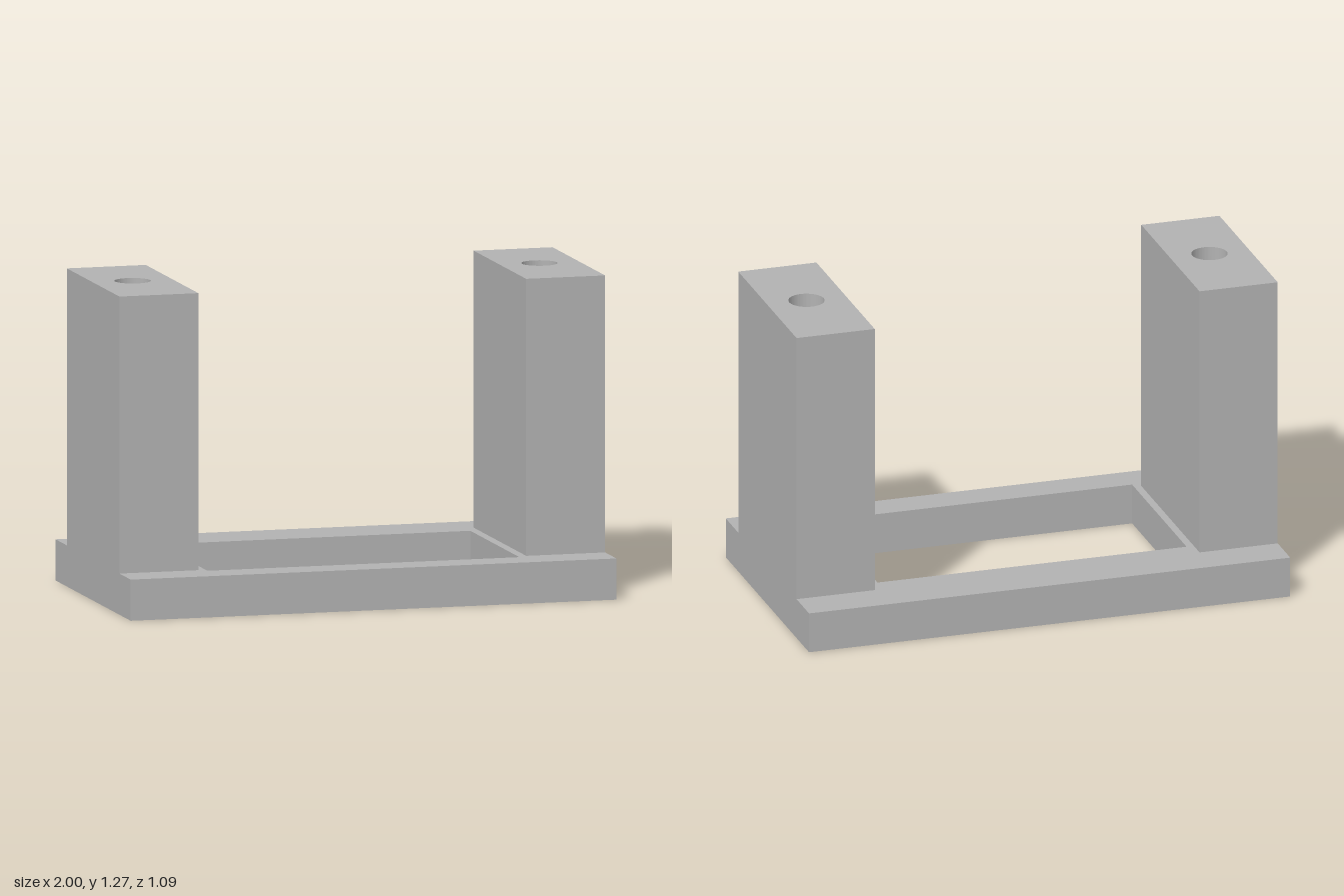
import * as THREE from 'three';
import { toCreasedNormals } from 'three/addons/utils/BufferGeometryUtils.js';

// Rectangle outline in plan; z is flipped because the extrusion is turned upright
function plan(x0, x1, z0, z1) {
  return [[x0, -z0], [x0, -z1], [x1, -z1], [x1, -z0]].map(([x, y]) => new THREE.Vector2(x, y));
}

// Extrude a plan shape upwards from y0 to y1
function raise(shape, y0, y1) {
  const geo = new THREE.ExtrudeGeometry(shape, { depth: y1 - y0, bevelEnabled: false, curveSegments: 40 });
  geo.rotateX(-Math.PI / 2).translate(0, y0, 0);
  return toCreasedNormals(geo, 0.6);
}

export function createModel() {
  const group = new THREE.Group();
  const grey = new THREE.MeshStandardMaterial({ color: 0xb2b2b2 });
  grey.name = 'plain grey';

  const add = (name, geo) => {
    const mesh = new THREE.Mesh(geo, grey);
    mesh.name = name;
    group.add(mesh);
  };

  const baseTop = 0.165, postTop = 1.275, holeFloor = 0.75;

  // Base plate with an off-centre rectangular window
  const base = new THREE.Shape(plan(-1, 1, -0.543, 0.543));
  base.holes.push(new THREE.Path(plan(-0.645, 0.64, -0.305, 0.405)));
  add('basePlate', raise(base, 0, baseTop));

  // Two posts, each solid below and bored from the top
  for (const [side, x0, x1] of [['left', 0.675, 1], ['right', -1, -0.675]]) {
    const outline = plan(x0, x1, -0.38, 0.38);
    add(side + 'PostLower', raise(new THREE.Shape(outline), baseTop, holeFloor));
    const bored = new THREE.Shape(outline);
    bored.holes.push(new THREE.Path().absarc((x0 + x1) / 2, 0, 0.072, 0, Math.PI * 2, true));
    add(side + 'PostUpper', raise(bored, holeFloor, postTop));
  }
  return group;
}
